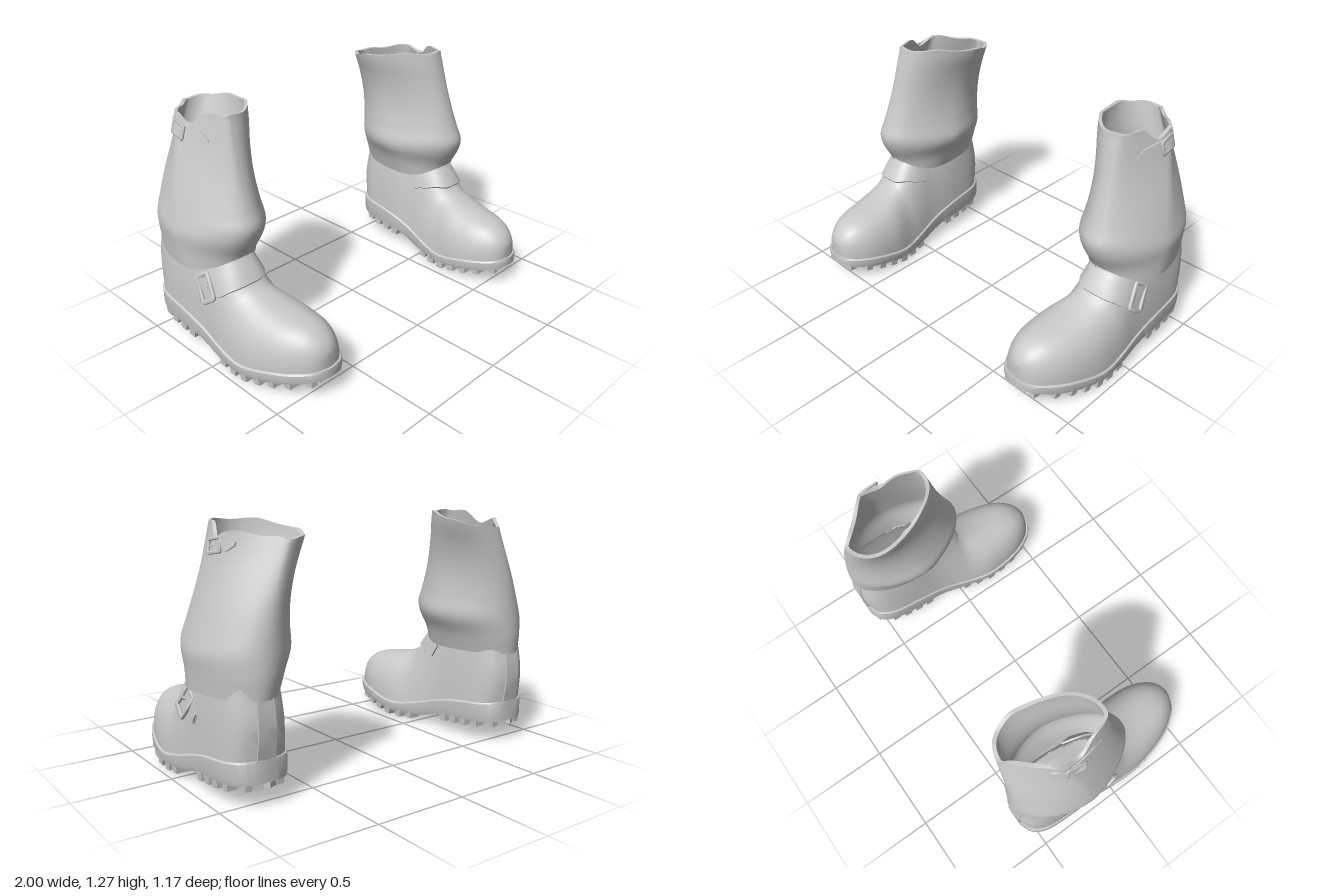
import * as THREE from 'three';
import { toCreasedNormals } from 'three/addons/utils/BufferGeometryUtils.js';

const V = (x, y, z) => new THREE.Vector3(x, y, z);
const { lerp, smoothstep } = THREE.MathUtils;

// Smooth profile through [position, value] pairs
function profile(...p) {
  const slope = (i) => {
    const a = p[Math.max(i - 1, 0)], b = p[Math.min(i + 1, p.length - 1)];
    return (b[1] - a[1]) / (b[0] - a[0]);
  };
  return (x) => {
    if (x <= p[0][0]) return p[0][1];
    if (x >= p[p.length - 1][0]) return p[p.length - 1][1];
    let i = 0;
    while (x > p[i + 1][0]) i++;
    const h = p[i + 1][0] - p[i][0], t = (x - p[i][0]) / h, t2 = t * t, t3 = t2 * t;
    return (2 * t3 - 3 * t2 + 1) * p[i][1] + (t3 - 2 * t2 + t) * h * slope(i)
      + (3 * t2 - 2 * t3) * p[i + 1][1] + (t3 - t2) * h * slope(i + 1);
  };
}

// Skin a list of cross-sections; caps collapse the ends onto their midline, skip() leaves out faces
function loft(rings, { closed = true, caps = false, crease = 0.7, skip } = {}) {
  if (caps) {
    const mid = (r) => {
      const x = r.reduce((s, p) => s + p.x, 0) / r.length;
      return r.map((p) => V(x, p.y, p.z));
    };
    rings = [mid(rings[0]), ...rings, mid(rings[rings.length - 1])];
  }
  const n = rings[0].length, index = [];
  for (let i = 0; i < rings.length - 1; i++) {
    for (let j = 0; j < (closed ? n : n - 1); j++) {
      const k = (j + 1) % n, a = i * n + j, b = i * n + k, c = b + n, d = a + n;
      if (skip && skip([rings[i][j], rings[i][k], rings[i + 1][k], rings[i + 1][j]])) continue;
      index.push(a, b, c, a, c, d);
    }
  }
  const g = new THREE.BufferGeometry().setFromPoints(rings.flat());
  g.setIndex(index);
  return toCreasedNormals(g, crease);
}

// Foot plan and heights, along z
const soleX = profile([-0.565, 0.79], [-0.3, 0.785], [-0.1, 0.78], [0.05, 0.77], [0.2, 0.755], [0.35, 0.74], [0.583, 0.72]);
const soleW = profile([-0.567, 0.05], [-0.55, 0.1], [-0.52, 0.135], [-0.45, 0.165], [-0.3, 0.177], [-0.1, 0.18],
  [0.05, 0.2], [0.2, 0.215], [0.35, 0.2], [0.45, 0.17], [0.53, 0.12], [0.57, 0.07], [0.584, 0.02]);
const soleTop = profile([-0.56, 0.225], [-0.3, 0.2], [-0.15, 0.165], [0, 0.12], [0.17, 0.092], [0.4, 0.133], [0.58, 0.16]);
const frontBase = profile([-0.18, 0.085], [-0.1, 0.065], [-0.02, 0.045], [0.05, 0.037], [0.17, 0.031], [0.4, 0.072], [0.58, 0.11]);
const soleBase = (z) => (z < -0.187 ? lerp(0.08, 0.115, (-0.187 - z) / 0.378) : frontBase(z));
const footTop = profile([-0.57, 0.8], [-0.3, 0.8], [-0.15, 0.72], [-0.06, 0.64], [0, 0.56], [0.05, 0.5], [0.1, 0.435],
  [0.2, 0.388], [0.3, 0.366], [0.4, 0.35], [0.47, 0.332], [0.52, 0.302], [0.55, 0.27], [0.567, 0.235]);

// Point on the upper: z station and arch angle (0 = outer side, PI = inner side)
const POW = 2 / 2.4;
function footPoint(z, a, out = 0, df = 0) {
  const s = Math.max(0, Math.min(1, Math.pow(Math.abs(Math.sin(a)), POW) + df));
  const c = Math.pow(Math.max(0, 1 - Math.pow(s, 2.4)), 1 / 2.4) * (Math.cos(a) < 0 ? -1 : 1);
  const waist = (1 - smoothstep(z, 0.05, 0.25)) * lerp(0.4, 1, smoothstep(z, -0.35, -0.1));
  const w = soleW(z * 1.025) * 0.96 * (1 - waist * s * (c < 0 ? 0.28 : 0.06)), base = soleTop(z) - 0.015;
  return V(soleX(z) + w * c + out * Math.cos(a), base + (footTop(z) - base) * s + out * Math.sin(a), z + out * 0.6 * Math.sin(a));
}

// Shaft profiles, along y
const shaftFront = profile([0.5, 0.03], [0.57, 0.045], [0.64, 0.085], [0.69, 0.107], [0.74, 0.115], [0.8, 0.092],
  [0.9, 0.058], [1, 0.028], [1.1, 0.003], [1.2, -0.02], [1.26, -0.035]);
const shaftBack = profile([0.5, -0.572], [0.6, -0.582], [0.8, -0.576], [1, -0.57], [1.26, -0.56]);
const shaftIn = profile([0.5, 0.61], [0.6, 0.575], [0.7, 0.525], [0.8, 0.543], [0.9, 0.558], [1, 0.558], [1.1, 0.54], [1.2, 0.507], [1.26, 0.495]);
const shaftOut = profile([0.5, 0.985], [0.6, 0.993], [0.68, 1], [0.75, 0.985], [0.8, 0.973], [0.9, 0.947], [1, 0.917], [1.1, 0.887], [1.2, 0.86], [1.26, 0.845]);
const shaftWide = profile([0.5, -0.2], [0.9, -0.27], [1.26, -0.36]);
const shaftRidge = profile([0.5, 0.78], [0.9, 0.77], [1.26, 0.755]);
const shaftHeel = profile([0.5, 0.79], [0.9, 0.74], [1.26, 0.63]);
const shaftPinch = profile([0.5, 0.1], [0.7, 0.2], [1, 0.35], [1.26, 0.5]);
const shaftSkew = profile([0.6, 0], [0.9, 0.02], [1.26, 0.05]);

// Point on the shaft: pear-shaped section, narrow towards the front, its back turned inwards at the top
function shaftPoint(th, y, out = 0) {
  const s = Math.sin(th), c = Math.cos(th), t = Math.max(0, -s), zw = shaftWide(y);
  const hz = (s > 0 ? zw - shaftBack(y) : shaftFront(y) - zw) + out;
  const hw = (shaftOut(y) - shaftIn(y)) / 2 + out, cx = (shaftOut(y) + shaftIn(y)) / 2;
  const spine = s > 0 ? lerp(cx, shaftHeel(y), s) : lerp(cx, shaftRidge(y), t);
  const skew = shaftSkew(y) * Math.max(0, 2 * s * c);
  return V(spine + hw * c * (1 - shaftPinch(y) * t) - skew, y, zw - hz * s + skew * 0.5);
}

function shaft() {
  const rows = [];
  for (let i = 0; i <= 32; i++) rows.push([i / 32, 0]);
  for (let i = 16; i >= 0; i--) rows.push([i / 16, -0.02]);
  rows.push([0, 0]);
  return loft(rows.map(([v, out]) => Array.from({ length: 72 }, (_, j) => {
    const th = j / 72 * Math.PI * 2, front = Math.max(0, -Math.sin(th));
    const z = shaftPoint(th, 1.2).z;
    const hem = 0.497 + 0.075 * Math.pow(front, 3);
    const notch = Math.cos(th) > 0 ? 0.05 * Math.exp(-(((z + 0.24) / 0.07) ** 2)) : 0;
    const rim = lerp(1.2, 1.265, Math.min(1, (z + 0.565) / 0.43)) - notch + 0.004 * Math.sin(th * 7);
    return shaftPoint(th, lerp(hem, rim, v), out);
  })), { crease: 1.0 });
}

function upper() {
  const zs = [-0.563, -0.555, -0.54, -0.52];
  for (let i = 1; i <= 40; i++) zs.push(-0.52 + i * 0.0255);
  zs.push(0.52, 0.535, 0.547, 0.556, 0.563, 0.567);
  const rings = zs.map((z) => Array.from({ length: 41 }, (_, j) => {
    const p = footPoint(z, j / 40 * Math.PI);
    p.y = Math.min(p.y, 0.6);
    // Heel counter bulges backwards
    p.z -= 0.018 * smoothstep(-z, 0.4, 0.56) * Math.sin(Math.PI * Math.min(1, Math.max(0, (p.y - 0.22) / 0.3)));
    return p;
  }));
  // The ankle stays open inside the shaft
  return loft(rings, { closed: false, caps: true, crease: 1, skip: (q) => q.every((p) => p.y > 0.599) });
}

// Sole wall, welt and underside, open inside the boot
function sole() {
  const zs = [-0.567, -0.56, -0.55, -0.535, -0.515, -0.49];
  for (let z = -0.46; z < -0.19; z += 0.03) zs.push(z);
  zs.push(-0.188, -0.186);
  for (let z = -0.16; z < 0.5; z += 0.03) zs.push(z);
  zs.push(0.515, 0.535, 0.55, 0.562, 0.572, 0.579, 0.584);
  return loft(zs.map((z) => {
    const x = soleX(z), w = soleW(z), t = soleTop(z), b = soleBase(z), inner = Math.max(0, w - 0.05);
    const half = [[w * 0.96, b], [w, b + 0.02], [w, t - 0.008], [w - 0.008, t], [inner, t]];
    return [...half.map(([d, y]) => V(x + d, y, z)), ...half.reverse().map(([d, y]) => V(x - d, y, z))];
  }), { caps: true, crease: 0.6, skip: (q) => q[0].x - q[1].x > 0.05 });
}

// Instep strap wrapped over the upper, pointed at the outer end
function instepStrap() {
  const rings = [], a0 = 0.25, a1 = Math.PI - 0.55;
  for (let i = 0; i <= 56; i++) {
    const a = lerp(a0, a1, i / 56), f = Math.pow(Math.sin(a), POW), g = 1 - f;
    const zc = 0.06 - (a > Math.PI / 2 ? 0.45 * g : 0.24 * g + 0.17 * g * g), tip = Math.min(1, 0.4 + i * 0.15);
    const dz = 0.036 * tip, df = 0.08 * tip * Math.min(1, g * 4);
    rings.push([footPoint(zc + dz, a, -0.01, -df), footPoint(zc + dz, a, 0.011, -df),
      footPoint(zc, a, 0.013), footPoint(zc - dz, a, 0.011, df), footPoint(zc - dz, a, -0.01, df)]);
  }
  return loft(rings, { caps: true });
}

// Small adjusting strap near the rim, on the outer side
function topStrap() {
  const rings = [];
  for (let i = 0; i <= 20; i++) {
    const t = i / 20, th = lerp(-0.72, 0.3, t), y = lerp(1.145, 1.175, t);
    const h = 0.03 * Math.min(1, 0.35 + 4 * t, 0.3 + 6 * (1 - t));
    rings.push([[-h, -0.008], [-h, 0.01], [h, 0.01], [h, -0.008]].map(([d, o]) => shaftPoint(th, y + d, o)));
  }
  return loft(rings, { caps: true });
}

function roundedRect(path, w, h, r) {
  path.moveTo(-w + r, -h).lineTo(w - r, -h).quadraticCurveTo(w, -h, w, -h + r).lineTo(w, h - r)
    .quadraticCurveTo(w, h, w - r, h).lineTo(-w + r, h).quadraticCurveTo(-w, h, -w, h - r)
    .lineTo(-w, -h + r).quadraticCurveTo(-w, -h, -w + r, -h);
  return path;
}

// Buckle frame and prong, facing outwards (+x)
function buckle(w, h, bar, turn, lean, yaw, pos) {
  const shape = roundedRect(new THREE.Shape(), w, h, bar * 1.2);
  shape.holes.push(roundedRect(new THREE.Path(), w - bar, h - bar, bar * 0.6));
  const frame = new THREE.ExtrudeGeometry(shape, { depth: bar * 0.5, bevelSize: bar * 0.25, bevelThickness: bar * 0.3, bevelSegments: 3, curveSegments: 5 });
  const prong = new THREE.BoxGeometry(w * 0.75, bar * 0.5, bar * 0.7).translate(-w * 0.6, 0, bar * 0.4);
  return [frame, prong].map((g) => toCreasedNormals(
    g.rotateZ(turn).rotateY(Math.PI / 2).rotateZ(lean).rotateY(yaw).translate(pos.x, pos.y, pos.z), 0.9));
}

// Tread blocks: flush edge blocks and slanted centre blocks
function lugs() {
  const rows = [], out = [];
  for (let i = 0; i < 7; i++) rows.push(0.525 - i * 0.08);
  for (let i = 0; i < 5; i++) rows.push(-0.222 - i * 0.075);
  for (const z of rows) {
    const w = Math.min(soleW(z - 0.025), soleW(z + 0.025)), x = soleX(z);
    const slope = Math.atan2(soleBase(z + 0.01) - soleBase(z - 0.01), 0.02);
    for (const [fx, size, turn, dz] of [[-0.8, 0.38, 0, 0], [0.8, 0.38, 0, 0], [-0.28, 0.5, 0.45, -0.01], [0.28, 0.5, -0.45, -0.01]]) {
      const g = new THREE.BoxGeometry(size * w, 0.05, 0.054), p = g.attributes.position;
      for (let i = 0; i < p.count; i++) if (p.getY(i) < 0) p.setXYZ(i, p.getX(i) * 0.92, p.getY(i), p.getZ(i) * 0.75);
      g.rotateY(turn).rotateX(-slope).translate(x + fx * w, soleBase(z + dz) - 0.005, z + dz);
      out.push(toCreasedNormals(g, 0.4));
    }
  }
  return out;
}

// Mirror across x, keeping faces outward
function mirrored(geo) {
  const g = geo.clone().scale(-1, 1, 1);
  for (const name of ['position', 'normal']) {
    const a = g.attributes[name].array;
    for (let i = 0; i < a.length; i += 9) {
      for (let k = 0; k < 3; k++) [a[i + 3 + k], a[i + 6 + k]] = [a[i + 6 + k], a[i + 3 + k]];
    }
  }
  return g;
}

export function createModel() {
  const leather = new THREE.MeshStandardMaterial({ color: 0xc8c8c8, side: THREE.DoubleSide });
  leather.name = 'greyLeather';

  const side = footPoint(-0.08, 0.45), cuff = shaftPoint(-0.18, 1.165);
  const [frame, prong] = buckle(0.053, 0.075, 0.015, -0.62, 0.25, 0, V(side.x + 0.01, 0.405, -0.078));
  const [smallFrame, smallProng] = buckle(0.052, 0.037, 0.01, 0.15, 0.2, 0.1, V(cuff.x + 0.011, 1.163, -0.29));

  const parts = [['shaft', shaft()], ['upper', upper()], ['sole', sole()], ['instepStrap', instepStrap()],
    ['instepBuckle', frame], ['instepProng', prong], ['topStrap', topStrap()], ['topBuckle', smallFrame], ['topProng', smallProng],
    ...lugs().map((g) => ['treadLug', g])];

  const model = new THREE.Group();
  model.name = 'bootPair';
  for (const [name, fix] of [['leftBoot', (g) => g], ['rightBoot', mirrored]]) {
    const boot = new THREE.Group();
    boot.name = name;
    for (const [part, geo] of parts) {
      const mesh = new THREE.Mesh(fix(geo), leather);
      mesh.name = part;
      boot.add(mesh);
    }
    model.add(boot);
  }
  return model;
}
